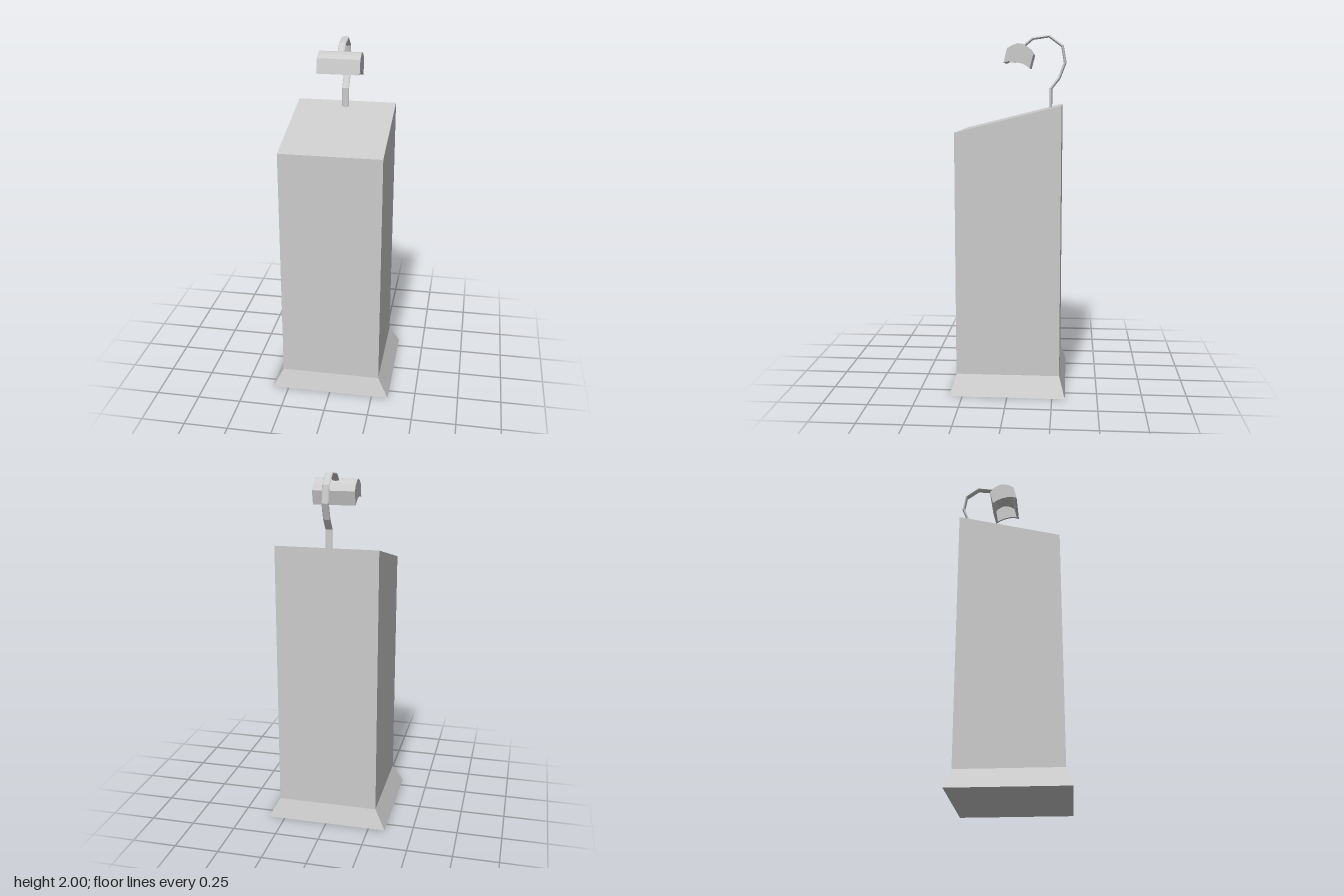
import * as THREE from 'three';

const grey = new THREE.MeshStandardMaterial({ color: 0xcccccc, flatShading: true });

function addMesh(parent, name, geometry) {
  geometry.computeVertexNormals();
  const mesh = new THREE.Mesh(geometry, grey);
  mesh.name = name;
  parent.add(mesh);
  return mesh;
}

// Move every vertex of a geometry by a rule
function reshape(geometry, rule) {
  const pos = geometry.attributes.position;
  const v = new THREE.Vector3();
  for (let i = 0; i < pos.count; i++) {
    rule(v.fromBufferAttribute(pos, i));
    pos.setXYZ(i, v.x, v.y, v.z);
  }
  return geometry;
}

// Extrude a [z, y] outline along x, starting at x0
function extrudeAlongX(outline, x0, width) {
  const shape = new THREE.Shape(outline.map(([z, y]) => new THREE.Vector2(-z, y)));
  return new THREE.ExtrudeGeometry(shape, { depth: width, bevelEnabled: false })
    .rotateY(Math.PI / 2)
    .translate(x0, 0, 0);
}

// Flattened tube with one ring of vertices at each [z, y] point
function ribbonTube(points, halfWidth, halfDepth) {
  const last = points.length - 1;
  const path = points.map(([z, y]) => new THREE.Vector3(0, y, z));
  const geometry = new THREE.CylinderGeometry(1, 1, 1, 12, last);
  return reshape(geometry, (v) => {
    const i = Math.round((v.y + 0.5) * last);
    const into = path[i].clone().sub(path[Math.max(i - 1, 0)]).normalize();
    const out = path[Math.min(i + 1, last)].clone().sub(path[i]).normalize();
    const t = into.add(out).normalize();
    const side = v.z * halfDepth;
    v.set(v.x * halfWidth, path[i].y - t.z * side, path[i].z + t.y * side);
  });
}

export function createModel() {
  const model = new THREE.Group();
  model.name = 'lectern';

  // Flared plinth
  const plinth = new THREE.BoxGeometry(0.568, 0.11, 0.578).translate(0, 0.055, 0);
  addMesh(model, 'plinth', reshape(plinth, (v) => {
    if (v.y < 0.05) v.set(Math.sign(v.x) * 0.345, 0, Math.sign(v.z) * 0.322);
  }));

  // Column with its top sloping down to the front
  const column = new THREE.BoxGeometry(0.568, 1.43, 0.578).translate(0, 0.825, 0);
  addMesh(model, 'column', reshape(column, (v) => {
    if (v.y > 1) v.y = v.z > 0 ? 1.465 : 1.61;
  }));

  const lamp = new THREE.Group();
  lamp.name = 'readingLamp';
  model.add(lamp);

  // Gooseneck arm
  const armPath = [
    [-0.225, 1.585], [-0.225, 1.70], [-0.272, 1.76], [-0.304, 1.845],
    [-0.288, 1.935], [-0.213, 1.99], [-0.12, 1.977], [-0.07, 1.935],
  ];
  addMesh(lamp, 'lampArm', ribbonTube(armPath, 0.02, 0.008));

  // Shade outline: over the top from front to back, then under from back to front
  const over = [
    [0.034, 1.841], [0.015, 1.92], [-0.015, 1.937], [-0.045, 1.946],
    [-0.07, 1.943], [-0.107, 1.921], [-0.13, 1.888], [-0.11, 1.81],
  ];
  const under = [[-0.085, 1.829], [-0.055, 1.842], [-0.02, 1.85], [0.01, 1.849]];
  const inner = [
    [-0.099, 1.819], [-0.117, 1.888], [-0.1, 1.911], [-0.068, 1.931],
    [-0.045, 1.934], [-0.019, 1.926], [0.005, 1.912], [0.021, 1.846],
  ];

  // Hollow shade body, open underneath, closed by a plate at each end
  const half = 0.118, plate = 0.012;
  addMesh(lamp, 'lampShade', extrudeAlongX([...over, ...inner], -half + plate, 2 * (half - plate)));
  for (const [name, x0] of [['rightShadeEnd', -half], ['leftShadeEnd', half - plate]]) {
    addMesh(lamp, name, extrudeAlongX([...over, ...under], x0, plate));
  }

  return model;
}
